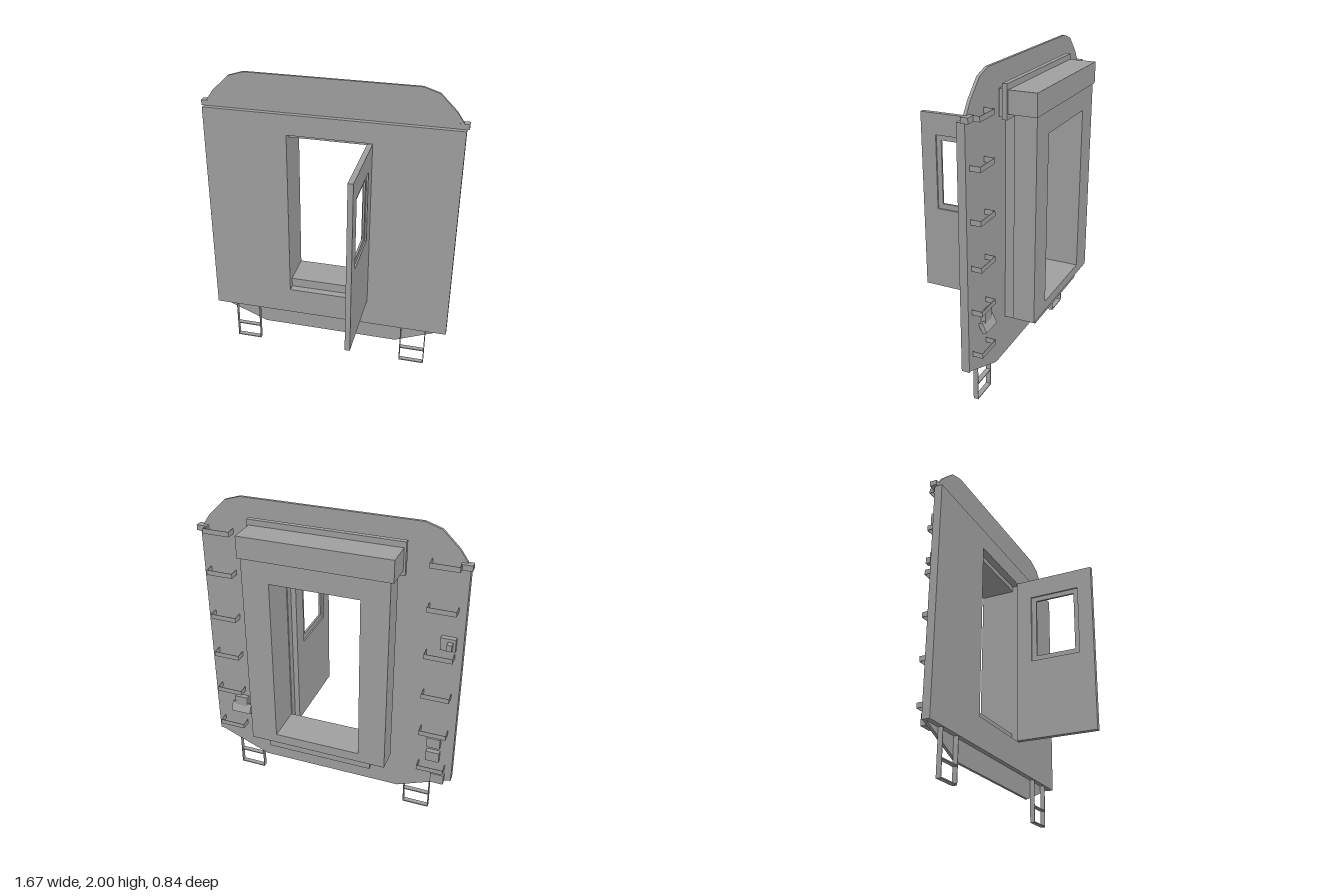
import * as THREE from 'three';

const grey = new THREE.MeshStandardMaterial({ color: 0xa0a0a0 });
grey.name = 'grey';

export function createModel() {
  const model = new THREE.Group();
  model.name = 'carriageEndWall';

  const add = (name, geometry, parent = model) => {
    const mesh = new THREE.Mesh(geometry, grey);
    mesh.name = name;
    parent.add(mesh);
    return mesh;
  };

  // Box given by its limits on each axis
  const box = (name, x0, x1, y0, y1, z0, z1, parent) => {
    const mesh = add(name, new THREE.BoxGeometry(x1 - x0, y1 - y0, z1 - z0), parent);
    mesh.position.set((x0 + x1) / 2, (y0 + y1) / 2, (z0 + z1) / 2);
    return mesh;
  };

  const rect = (x0, x1, y0, y1) => [[x0, y0], [x1, y0], [x1, y1], [x0, y1]];
  const toPoints = (list) => list.map(([x, y]) => new THREE.Vector2(x, y));

  // Flat panel from an outline with an optional hole, between two depths
  const panel = (name, outline, hole, z0, z1, parent) => {
    const shape = new THREE.Shape(toPoints(outline));
    if (hole) shape.holes.push(new THREE.Path(toPoints(hole)));
    const geometry = new THREE.ExtrudeGeometry(shape, { depth: z1 - z0, bevelEnabled: false });
    geometry.translate(0, 0, z0);
    return add(name, geometry, parent);
  };

  // End wall with doorway
  const back = -0.177;
  panel('endWall', rect(-0.82, 0.82, 0.28, 1.763), rect(-0.275, 0.27, 0.468, 1.628), back, -0.127);

  // Roof panel and lower skirt
  const roofSide = [[0.8, 1.763], [0.8, 1.8], [0.755, 1.865], [0.65, 1.968], [0.55, 2]];
  const mirrored = roofSide.map(([x, y]) => [-x, y]).reverse();
  panel('roofPanel', [...roofSide, ...mirrored], null, back, -0.159);
  panel('skirt', [[-0.47, 0.145], [0.47, 0.145], [0.8, 0.28], [-0.8, 0.28]], null, back, -0.159);

  // Open door with a recessed window frame; drawn flat, then turned to face sideways
  const door = new THREE.Group();
  door.name = 'door';
  door.rotation.y = -Math.PI / 2;
  model.add(door);
  const windowOuter = rect(-0.02, 0.322, 1.01, 1.49);
  panel('doorLeaf', rect(-0.127, 0.422, 0.468, 1.626), windowOuter, -0.27, -0.237, door);
  panel('windowFrame', windowOuter, rect(0.015, 0.29, 1.045, 1.457), -0.26, -0.247, door);

  // Gangway
  const opening = rect(-0.275, 0.275, 0.53, 1.595);
  panel('gangwayTunnel', rect(-0.34, 0.34, 0.4, 1.7), opening, -0.38, back);
  panel('gangwayFrame', rect(-0.445, 0.445, 0.468, 1.73), opening, -0.415, -0.28);
  box('gangwayHood', -0.463, 0.463, 1.73, 1.865, -0.422, -0.25);
  box('hoodPlate', -0.475, 0.475, 1.7, 1.9, -0.25, -0.22);
  box('hoodSpacer', -0.445, 0.445, 1.705, 1.865, -0.22, -0.188);
  box('hoodMount', -0.34, 0.34, 1.7, 1.865, -0.188, back);

  for (const s of [-1, 1]) {
    // Climbing rungs made of thin bent strips
    for (const y of [1.78, 1.51, 1.205, 0.928, 0.655, 0.383]) {
      const rung = new THREE.Group();
      rung.name = 'rung';
      rung.position.set(s * 0.69, y, 0);
      model.add(rung);
      const h = 0.016;
      box('rungBar', -0.085, 0.085, -h, h, -0.241, -0.238, rung);
      for (const e of [-1, 1]) {
        box('rungEnd', e * 0.084 - 0.0015, e * 0.084 + 0.0015, -h, h, -0.24, back, rung);
      }
    }

    // Block at the roof corner
    box('cornerBlock', s * 0.8 - 0.034, s * 0.8 + 0.034, 1.763, 1.797, -0.203, -0.158);

    // Step ladder below the wall
    const ladder = new THREE.Group();
    ladder.name = 'stepLadder';
    ladder.position.x = s * 0.595;
    model.add(ladder);
    for (const e of [-1, 1]) {
      box('stringer', e * 0.084 - 0.002, e * 0.084 + 0.002, 0, 0.29, -0.159, -0.128, ladder);
    }
    for (const y of [0, 0.105]) box('step', -0.085, 0.085, y, y + 0.007, -0.159, -0.128, ladder);
  }

  // Tilted lamp on its bracket
  box('lampBracket', 0.585, 0.67, 0.525, 0.6, -0.207, back);
  const lamp = add('lamp', new THREE.BoxGeometry(0.135, 0.066, 0.03));
  lamp.position.set(0.628, 0.512, -0.2);
  lamp.rotation.x = 0.45;

  // Socket and junction boxes
  box('socket', -0.78, -0.69, 1.25, 1.33, -0.208, back);
  box('socketPlug', -0.765, -0.735, 1.27, 1.31, -0.245, -0.208);
  for (const [x, y] of [[-0.695, 0.57], [-0.695, 0.465], [-0.735, 0.297]]) {
    box('junctionBox', x - 0.043, x + 0.043, y - 0.035, y + 0.035, -0.208, back);
  }

  return model;
}
